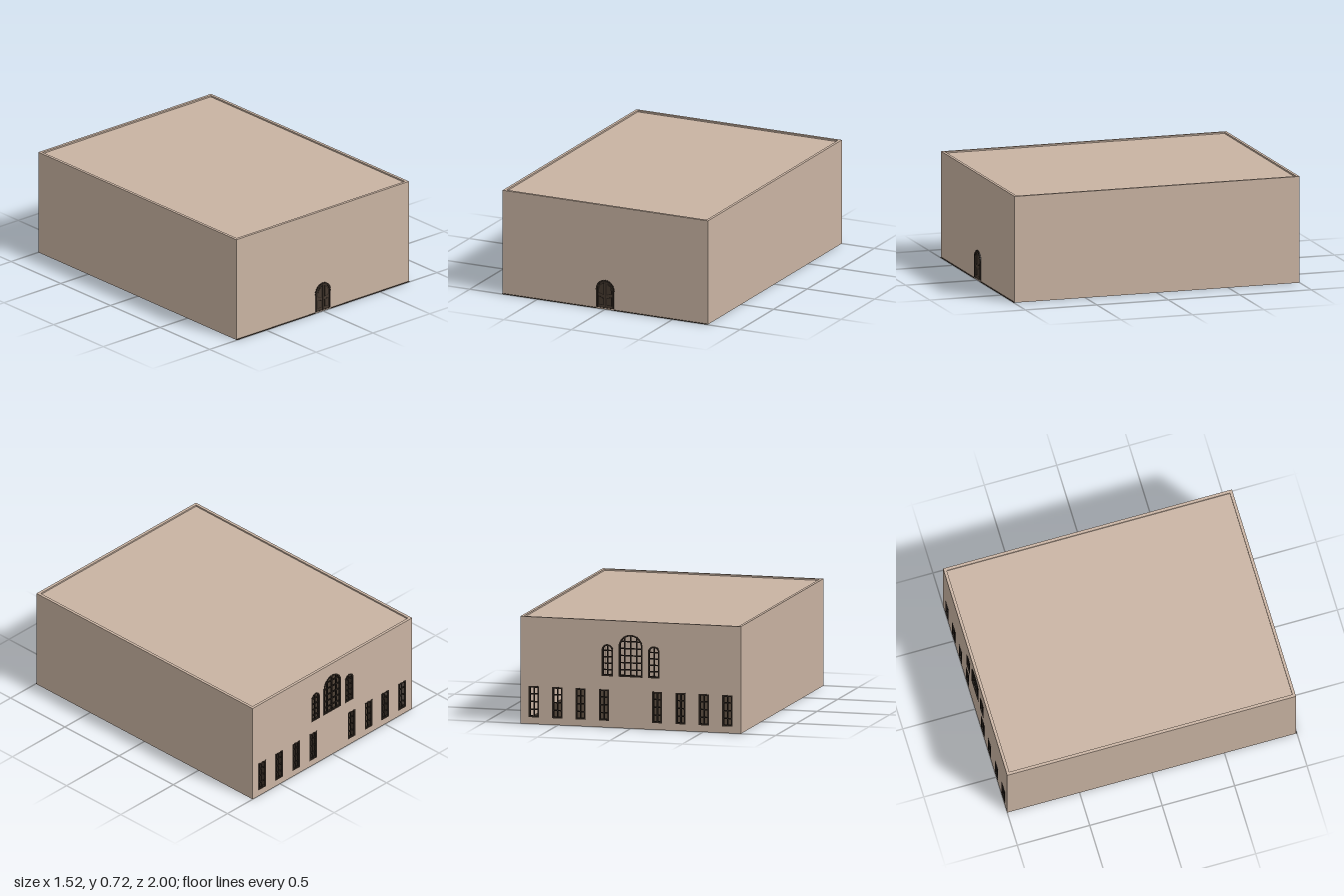
import * as THREE from 'three';

const W = 0.76, H = 0.72, T = 0.02, BACK = -1, FRONT = 0.994;

// Upright outline, straight sided or with a round head
function opening(Kind, cx, w, y0, top, arched) {
  const p = new Kind(), r = w / 2, spring = arched ? top - r : top;
  p.moveTo(cx - r, y0);
  p.lineTo(cx + r, y0);
  p.lineTo(cx + r, spring);
  if (arched) p.absarc(cx, spring, r, 0, Math.PI, false);
  else p.lineTo(cx - r, top);
  p.closePath();
  return p;
}

export function createModel() {
  const model = new THREE.Group();
  model.name = 'hall';
  const mat = (name, color) => {
    const m = new THREE.MeshStandardMaterial({ color });
    m.name = name;
    return m;
  };
  const plaster = mat('tan plaster', 0xc9b3a2);
  const wood = mat('brown wood', 0x45392f);
  const dark = mat('dark wood', 0x2a221c);

  const add = (parent, name, geo, material, x = 0, y = 0, z = 0) => {
    const m = new THREE.Mesh(geo, material);
    m.name = name;
    m.position.set(x, y, z);
    parent.add(m);
    return m;
  };
  const box = (parent, name, w, h, d, material, x, y, z) =>
    add(parent, name, new THREE.BoxGeometry(w, h, d), material, x, y, z);
  const plate = (parent, name, shape, depth, material, z) =>
    add(parent, name, new THREE.ExtrudeGeometry(shape, { depth, bevelEnabled: false, curveSegments: 16 }), material, 0, 0, z);

  // Windows of the back wall: centre, width, sill, top, arched, columns, rows
  const windows = [[0, 0.166, 0.345, 0.63, true, 4, 6]];
  for (const s of [-1, 1]) {
    windows.push([s * 0.16, 0.08, 0.345, 0.56, true, 2, 5]);
    for (const x of [0.183, 0.345, 0.505, 0.667])
      windows.push([s * x, 0.07, 0.045, 0.255, false, 2, 4]);
  }

  // Walls
  const midZ = (FRONT + BACK) / 2, len = FRONT - BACK;
  for (const s of [-1, 1])
    box(model, 'sideWall', T, H, len - 2 * T, plaster, s * (W - T / 2), H / 2, midZ);
  box(model, 'frontWall', 2 * W, H, T, plaster, 0, H / 2, FRONT - T / 2);
  const wall = new THREE.Shape([[-W, 0], [W, 0], [W, H], [-W, H]].map(p => new THREE.Vector2(...p)));
  for (const [x, w, y0, top, arched] of windows)
    wall.holes.push(opening(THREE.Path, x, w, y0, top, arched));
  plate(model, 'backWall', wall, T, plaster, BACK);

  // Sunken roof and raised floor
  box(model, 'roof', 2 * (W - T), 0.014, len - 2 * T, plaster, 0, H - 0.017, midZ);
  box(model, 'floor', 2 * (W - T), 0.01, len - 2 * T, wood, 0, 0.009, midZ);

  // Window frames and glazing bars
  const bar = 0.008, zBar = BACK + 0.008;
  for (const [x, w, y0, top, arched, cols, rows] of windows) {
    const g = new THREE.Group();
    g.name = arched ? 'archedWindow' : 'window';
    model.add(g);
    const rim = 0.011, r = w / 2, spring = top - r;
    const frame = opening(THREE.Shape, x, w, y0, top, arched);
    frame.holes.push(opening(THREE.Path, x, w - 2 * rim, y0 + rim, top - rim, arched));
    plate(g, 'windowFrame', frame, 0.016, dark, BACK - 0.001);
    for (let i = 1; i < cols; i++) {
      const dx = -r + w * i / cols;
      const y1 = (arched ? spring + Math.sqrt(r * r - dx * dx) : top) - 0.004;
      box(g, 'uprightBar', bar, y1 - y0 - 0.004, 0.01, dark, x + dx, (y0 + y1 + 0.004) / 2, zBar);
    }
    for (let j = 1; j < rows; j++) {
      const y = y0 + (top - y0) * j / rows;
      const half = arched && y > spring ? Math.sqrt(r * r - (y - spring) ** 2) : r;
      box(g, 'crossBar', 2 * half - 0.008, bar, 0.009, dark, x, y, zBar);
    }
  }

  // Ledge along the foot of the front wall, broken at the door
  for (const s of [-1, 1])
    box(model, 'frontLedge', W - 0.068, 0.004, 0.006, wood, s * (W + 0.068) / 2, 0.002, FRONT + 0.003);

  // Arched double door
  const door = new THREE.Group();
  door.name = 'door';
  model.add(door);
  box(door, 'threshold', 0.136, 0.01, 0.004, plaster, 0, 0.005, FRONT + 0.002);
  const surround = opening(THREE.Shape, 0, 0.13, 0.01, 0.2, true);
  surround.holes.push(opening(THREE.Path, 0, 0.108, 0.01, 0.189, true));
  plate(door, 'doorFrame', surround, 0.006, dark, FRONT);
  plate(door, 'doorLeaf', opening(THREE.Shape, 0, 0.108, 0.01, 0.189, true), 0.002, wood, FRONT);
  box(door, 'doorSeam', 0.004, 0.176, 0.0012, dark, 0, 0.1, FRONT + 0.0024);

  // Small stones around the arch
  for (let i = 0; i <= 12; i++) {
    const a = Math.PI * i / 12;
    const stone = box(door, 'archStone', 0.008, 0.01, 0.006, dark,
      Math.cos(a) * 0.064, 0.135 + Math.sin(a) * 0.064, FRONT + 0.003);
    stone.rotation.z = a;
  }

  // Door panels: a dark border with a wooden field
  const lower = (s, e) => new THREE.Shape([[0.009 + e, 0.027 + e], [0.049 - e, 0.027 + e],
    [0.049 - e, 0.088 - e], [0.009 + e, 0.08 - e]].map(([x, y]) => new THREE.Vector2(s * x, y)));
  const upper = (s, e) => {
    const pts = [[0.009 + e, 0.098 + e], [0.049 - e, 0.108 + e]];
    for (let i = 0; i <= 6; i++) {
      const t = i / 6 * 1.37;
      pts.push([Math.max(0.009 + e, Math.cos(t) * (0.049 - e)), 0.135 + Math.sin(t) * (0.049 - e)]);
    }
    return new THREE.Shape(pts.map(([x, y]) => new THREE.Vector2(s * x, y)));
  };
  for (const s of [-1, 1]) {
    for (const make of [lower, upper]) {
      plate(door, 'panelBorder', make(s, 0), 0.001, dark, FRONT + 0.002);
      plate(door, 'panelField', make(s, 0.006), 0.002, wood, FRONT + 0.002);
    }
  }
  return model;
}
